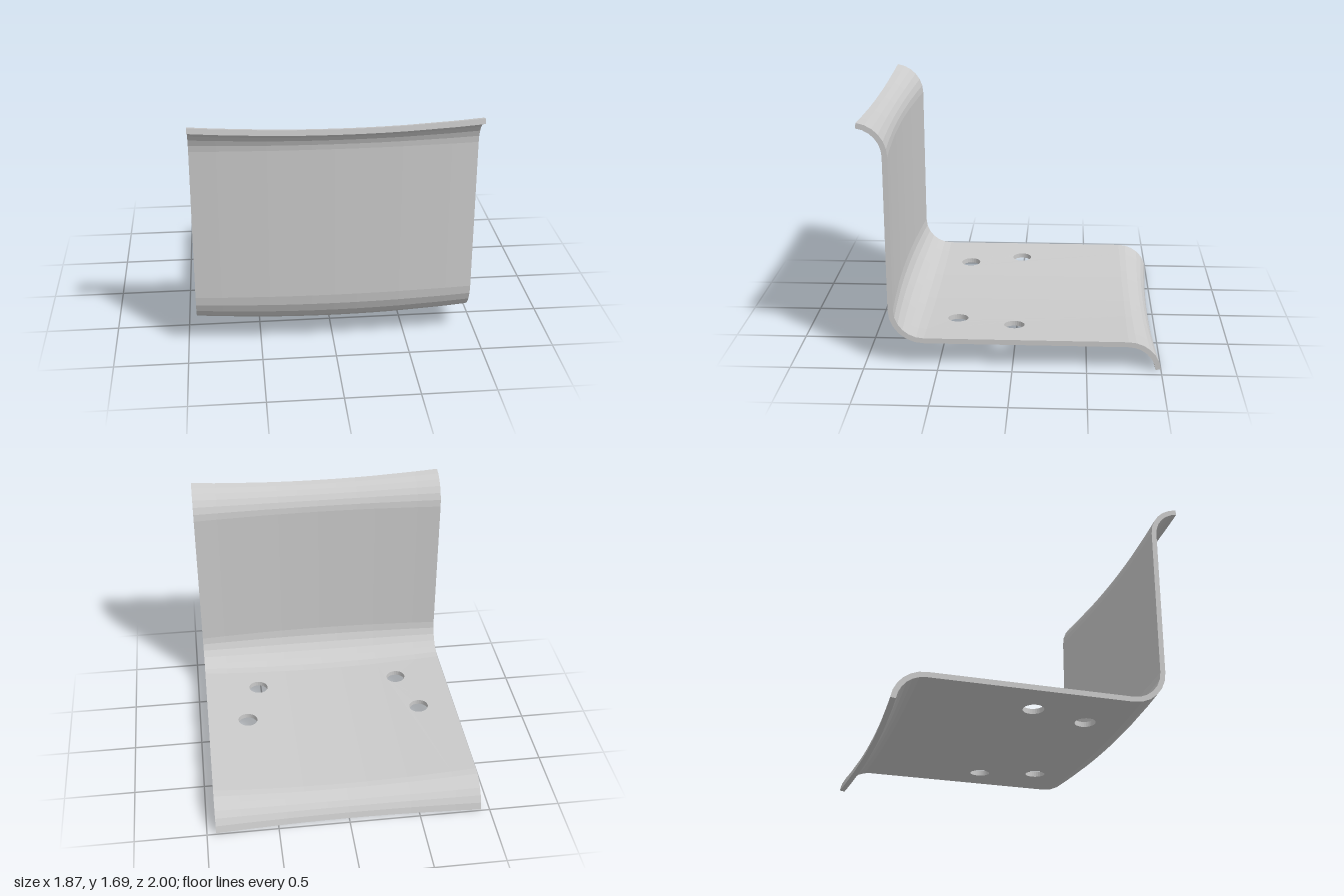
import * as THREE from 'three';

const HALF = 0.937, SAG = 0.038, THICK = 0.036;
const STEPS = 6, BEND = THREE.MathUtils.degToRad(82.4);
const HOLE_R = 0.071;
const HOLES = [[-0.67, 0], [0.64, 0], [-0.56, 0.4], [0.53, 0.4]]; // x, z

// Side profile: stations with a point (z, y) and the direction of thickness (nz, ny)
function makeProfile() {
  const rows = [];
  for (let i = 0; i <= STEPS; i++) { // rear lip, curling down
    const a = BEND * (1 - i / STEPS), s = Math.sin(a), c = Math.cos(a);
    rows.push([-0.778 - 0.224 * s, -0.019 + 0.224 * c, s, -c]);
  }
  for (let i = 0; i <= STEPS; i++) { // bend from base to wall
    const a = Math.PI / 2 * i / STEPS, s = Math.sin(a), c = Math.cos(a);
    rows.push([0.597 + 0.2 * s, 0.405 - 0.2 * c, s, -c]);
  }
  for (let i = 0; i <= STEPS; i++) { // top lip, curling forward
    const a = BEND * i / STEPS, s = Math.sin(a), c = Math.cos(a);
    rows.push([1.021 - 0.224 * c, 1.468 + 0.224 * s, c, -s]);
  }
  return rows;
}

export function createModel() {
  const rows = makeProfile();
  const last = rows.length - 1;
  const columns = [-HALF, -0.76, -0.44, -0.3, -0.15, 0, 0.15, 0.3, 0.44, 0.76, HALF];
  const positions = [];

  // Sheet coordinates (x, station, depth) to space, bowed across the width
  const put = (x, t, depth) => {
    const i = Math.min(Math.floor(t), last - 1), f = t - i;
    const [z, y, nz, ny] = rows[i].map((v, k) => v + (rows[i + 1][k] - v) * f);
    const d = depth + SAG * (1 - (x / HALF) ** 2);
    positions.push(x, y + ny * d, z + nz * d);
  };

  // Edge strip through the thickness, along a closed loop
  const addEdge = (loop) => loop.forEach((p, i) => {
    const q = loop[(i + 1) % loop.length];
    const corners = [[p, 0], [q, 0], [q, THICK], [p, 0], [q, THICK], [p, THICK]];
    for (const [v, d] of corners) put(v.x, v.y, d);
  });

  // Hole outlines on the flat base
  const baseRow = STEPS, z0 = rows[baseRow][0], span = rows[baseRow + 1][0] - z0;
  const holeLoops = HOLES.map(([hx, hz]) => Array.from({ length: 28 }, (_, i) => {
    const a = -2 * Math.PI * i / 28;
    return new THREE.Vector2(hx + HOLE_R * Math.cos(a),
      baseRow + (hz + HOLE_R * Math.sin(a) - z0) / span);
  }));

  // Both faces of the sheet, cell by cell
  for (let r = 0; r < last; r++) {
    for (let c = 0; c < columns.length - 1; c++) {
      const a = columns[c], b = columns[c + 1];
      const outline = [[a, r], [b, r], [b, r + 1], [a, r + 1]].map(p => new THREE.Vector2(...p));
      const holes = r === baseRow
        ? holeLoops.filter((_, i) => HOLES[i][0] > a && HOLES[i][0] < b) : [];
      const points = [outline, ...holes].flat();
      for (const [i, j, k] of THREE.ShapeUtils.triangulateShape(outline, holes)) {
        for (const n of [i, j, k]) put(points[n].x, points[n].y, THICK);
        for (const n of [i, k, j]) put(points[n].x, points[n].y, 0);
      }
    }
  }

  // Rim of the sheet and walls of the holes
  const rim = [];
  for (const x of columns) rim.push(new THREE.Vector2(x, 0));
  for (let r = 1; r <= last; r++) rim.push(new THREE.Vector2(HALF, r));
  for (const x of columns.slice(0, -1).reverse()) rim.push(new THREE.Vector2(x, last));
  for (let r = last - 1; r > 0; r--) rim.push(new THREE.Vector2(-HALF, r));
  addEdge(rim);
  holeLoops.forEach(addEdge);

  const geometry = new THREE.BufferGeometry();
  geometry.setAttribute('position', new THREE.Float32BufferAttribute(positions, 3));
  geometry.computeVertexNormals();
  const sheet = new THREE.Mesh(geometry,
    new THREE.MeshStandardMaterial({ color: 0xcccccc, flatShading: true }));
  sheet.name = 'bentSheetBracket';

  const group = new THREE.Group();
  group.name = 'bracket';
  group.add(sheet);
  return group;
}
